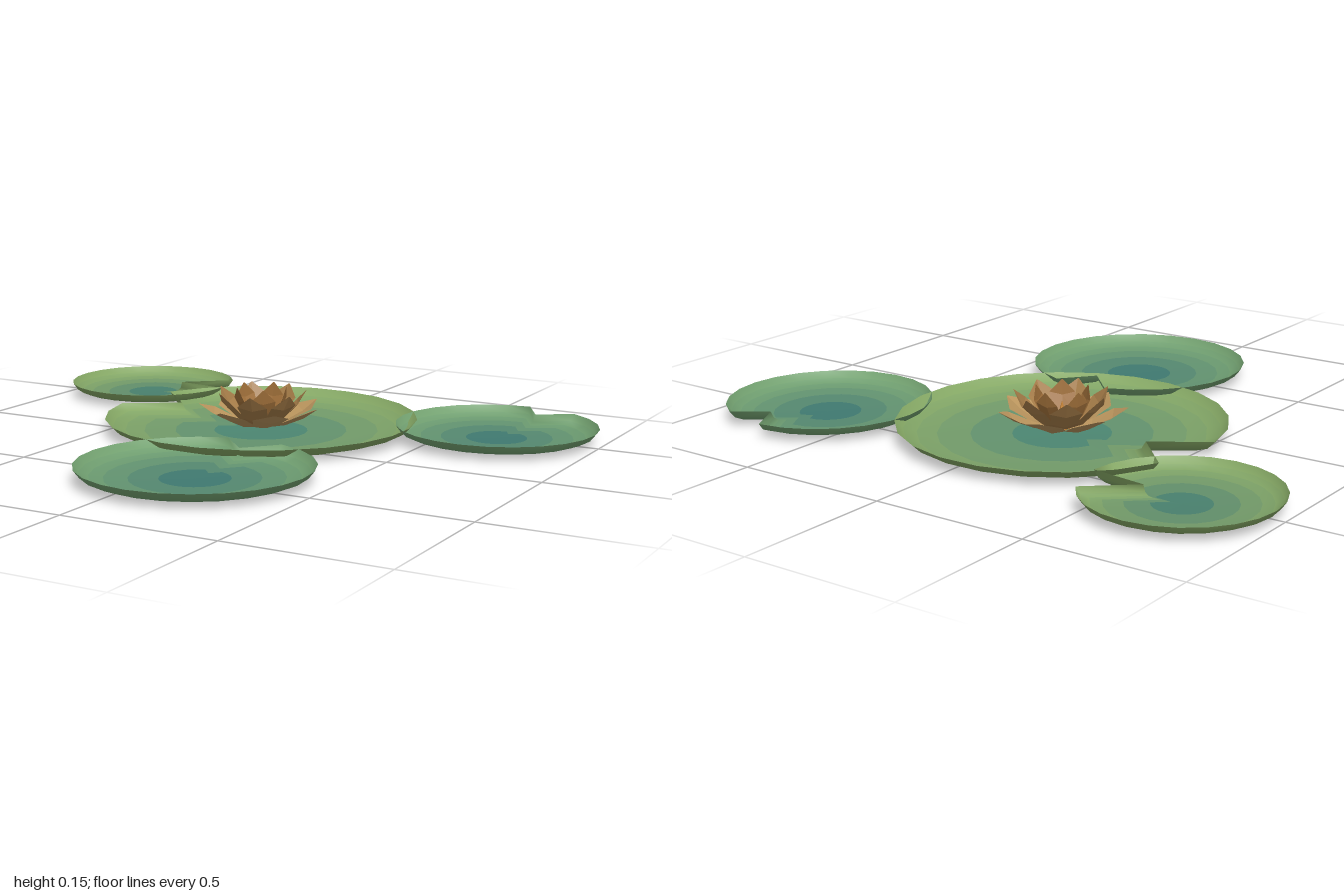
import * as THREE from 'three';

// Dish profile shared by all pads: [scale of outline, height]
const DISH = [[0, 0], [0.3, 0.001], [0.55, 0.003], [0.75, 0.006], [0.87, 0.012], [0.95, 0.024], [1, 0.049]];

// Notched round leaf: the outline is scaled inward ring by ring, so the notch has a raised lip too
function makePad({ name, x, z, r, notch, depth, base, inner, outer }) {
  const steps = 22, outline = [];
  const [a0, a1] = notch.map(THREE.MathUtils.degToRad);
  for (let i = 0; i <= steps; i++) {
    const a = a1 + (a0 + Math.PI * 2 - a1) * i / steps;
    outline.push([r * Math.cos(a), r * Math.sin(a)]);
  }
  outline.push(depth);
  const n = outline.length, pos = [], index = [];
  const geo = new THREE.BufferGeometry();
  DISH.forEach(([s, y]) => outline.forEach(([px, pz]) => pos.push(px * s, base + y * (0.049 - base) / 0.049, pz * s)));

  // one colour band per ring
  const materials = [];
  for (let k = 0; k < DISH.length - 1; k++) {
    const start = index.length;
    for (let i = 0; i < n; i++) {
      const j = (i + 1) % n, a = k * n + i, b = k * n + j, c = a + n, d = b + n;
      if (k > 0) index.push(a, b, c);
      index.push(b, d, c);
    }
    geo.addGroup(start, index.length - start, k);
    const t = (DISH[k][0] + DISH[k + 1][0]) / 2;
    materials.push(new THREE.MeshStandardMaterial({
      color: new THREE.Color(inner).lerp(new THREE.Color(outer), t), side: THREE.DoubleSide,
    }));
  }
  geo.setAttribute('position', new THREE.Float32BufferAttribute(pos, 3));
  geo.setIndex(index);
  geo.computeVertexNormals();
  const pad = new THREE.Mesh(geo, materials);
  pad.name = name;
  pad.position.set(x, 0, z);
  return pad;
}

// Cupped, pointed petal along +x; rows are [distance out, height, half width, edge lift]
function petalGeometry(rows) {
  const pos = [], index = [];
  rows.forEach(([d, y, w, lift]) => pos.push(d, y + lift, -w, d, y, 0, d, y + lift, w));
  for (let k = 0; k < rows.length - 1; k++) {
    for (let i = 0; i < 2; i++) {
      const a = k * 3 + i, b = a + 1, c = a + 3, d = a + 4;
      index.push(a, b, c, b, d, c);
    }
  }
  const geo = new THREE.BufferGeometry();
  geo.setAttribute('position', new THREE.Float32BufferAttribute(pos, 3));
  geo.setIndex(index);
  geo.computeVertexNormals();
  return geo;
}

function petalRing(name, count, turn, color, rows) {
  const ring = new THREE.Group();
  ring.name = name;
  const geo = petalGeometry(rows);
  const mat = new THREE.MeshStandardMaterial({ color, side: THREE.DoubleSide, flatShading: true });
  for (let i = 0; i < count; i++) {
    const petal = new THREE.Mesh(geo, mat);
    petal.name = 'petal';
    petal.rotation.y = turn + i * Math.PI * 2 / count;
    ring.add(petal);
  }
  return ring;
}

function makeFlower() {
  const flower = new THREE.Group();
  flower.name = 'flower';
  flower.add(
    petalRing('outerPetals', 7, 0.05, 0xb8935c, [
      [0.02, 0.012, 0.012, 0], [0.09, 0.025, 0.045, 0.012], [0.155, 0.053, 0.06, 0.014], [0.205, 0.088, 0.002, 0]]),
    petalRing('middlePetals', 7, 0.5, 0xa57c48, [
      [0.015, 0.015, 0.012, 0], [0.075, 0.04, 0.04, 0.012], [0.12, 0.085, 0.05, 0.012], [0.15, 0.135, 0.002, 0]]),
    petalRing('innerPetals', 5, 0.3, 0xa0703a, [
      [0.012, 0.02, 0.01, 0], [0.055, 0.05, 0.035, 0.01], [0.078, 0.1, 0.04, 0.01], [0.085, 0.148, 0.002, 0]]),
  );
  // small bud at the heart
  const bud = new THREE.Mesh(
    new THREE.ConeGeometry(0.025, 0.09, 6),
    new THREE.MeshStandardMaterial({ color: 0xc88432, flatShading: true }));
  bud.name = 'bud';
  bud.position.y = 0.06;
  flower.add(bud);
  flower.position.set(-0.06, 0, -0.21);
  return flower;
}

export function createModel() {
  const model = new THREE.Group();
  model.name = 'waterLily';
  // notch: start and end angle of the cut; depth: its inner corner relative to the pad centre
  const pads = [
    { name: 'mainPad', x: -0.06, z: -0.21, r: 0.515, notch: [173, 202], depth: [-0.34, -0.05], base: 0, inner: 0x3a7f74, outer: 0x86a864 },
    { name: 'backRightPad', x: -0.71, z: -0.555, r: 0.292, notch: [-30, 0], depth: [0.11, -0.025], base: 0.008, inner: 0x35776f, outer: 0x86a864 },
    { name: 'backLeftPad', x: 0.67, z: -0.465, r: 0.327, notch: [-92, -61], depth: [0.05, -0.215], base: 0.006, inner: 0x2f7070, outer: 0x74a270 },
    { name: 'frontPad', x: 0.11, z: 0.48, r: 0.36, notch: [-105, -74], depth: [0.01, -0.24], base: 0.004, inner: 0x2f7070, outer: 0x74a270 },
  ];
  pads.forEach((p) => model.add(makePad(p)));
  model.add(makeFlower());
  return model;
}
